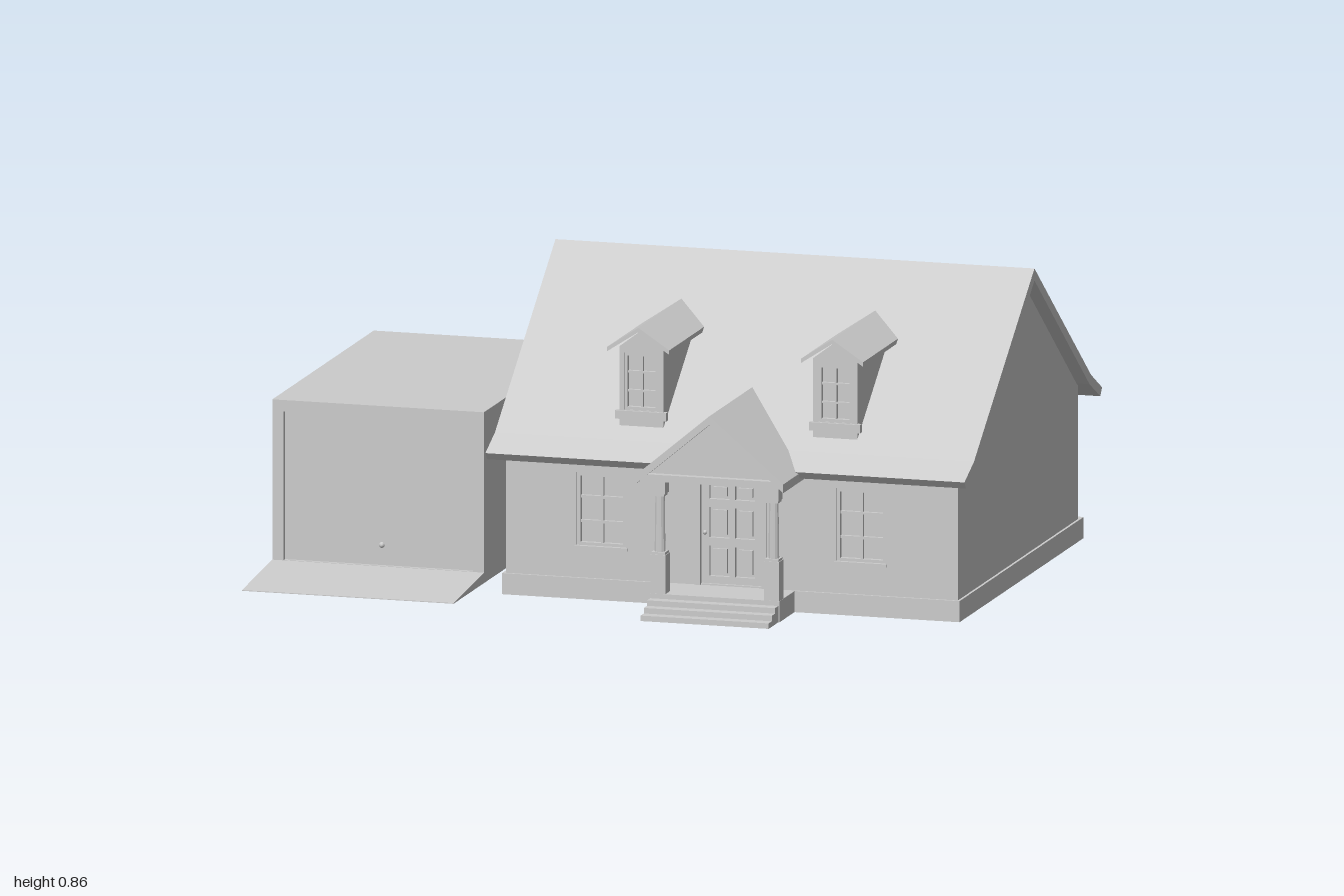
import * as THREE from 'three';

const mat = new THREE.MeshStandardMaterial({ color: 0xcccccc, flatShading: true });

function add(parent, name, geo, x = 0, y = 0, z = 0) {
  const m = new THREE.Mesh(geo, mat);
  m.name = name;
  m.position.set(x, y, z);
  parent.add(m);
  return m;
}

// Box given by its limits
function box(parent, name, x0, x1, y0, y1, z0, z1) {
  return add(parent, name, new THREE.BoxGeometry(x1 - x0, y1 - y0, z1 - z0),
    (x0 + x1) / 2, (y0 + y1) / 2, (z0 + z1) / 2);
}

function polygon(points, holes = []) {
  const shape = new THREE.Shape(points.map(p => new THREE.Vector2(...p)));
  for (const [x0, x1, y0, y1] of holes) {
    shape.holes.push(new THREE.Path([[x0, y0], [x0, y1], [x1, y1], [x1, y0]]
      .map(p => new THREE.Vector2(...p))));
  }
  return shape;
}

const rect = (x0, x1, y0, y1) => [[x0, y0], [x1, y0], [x1, y1], [x0, y1]];

// Profile in (x, y), swept from z0 to z1
function sweepZ(parent, name, points, z0, z1, holes) {
  const g = new THREE.ExtrudeGeometry(polygon(points, holes), { depth: z1 - z0, bevelEnabled: false });
  return add(parent, name, g, 0, 0, z0);
}

// Profile in (z, y), swept from x0 to x1
function sweepX(parent, name, points, x0, x1) {
  const g = new THREE.ExtrudeGeometry(polygon(points), { depth: x1 - x0, bevelEnabled: false });
  g.rotateY(-Math.PI / 2);
  return add(parent, name, g, x1, 0, 0);
}

// Sash frame with glazing bars; its back lies on z = 0
function windowUnit(parent, name, cx, cy, z, w, h, t = 0.01) {
  const g = new THREE.Group();
  g.name = name;
  g.position.set(cx, cy, z);
  parent.add(g);
  const x = w / 2, y = h / 2;
  sweepZ(g, 'sash', rect(-x, x, -y, y), 0, 0.014, [[-x + t, x - t, -y + t, y - t]]);
  box(g, 'uprightBar', -t / 3, t / 3, -y + t, y - t, 0, 0.011);
  for (const k of [-1, 1]) {
    box(g, 'crossBar', -x + t, x - t, k * h / 6 - t / 3, k * h / 6 + t / 3, 0, 0.011);
  }
  return g;
}

// Two sloping roof boards meeting at a ridge
const chevron = (cx, half, eave, peak, t) => [
  [cx - half, eave], [cx - half, eave - t], [cx, peak - t],
  [cx + half, eave - t], [cx + half, eave], [cx, peak]];

function dormer(parent, name, x, frontZ, facing, lift) {
  const g = new THREE.Group();
  g.name = name;
  g.position.set(x, lift, frontZ);
  if (facing < 0) g.rotation.y = Math.PI;
  parent.add(g);
  const gable = [[-0.062, 0.445], [0.062, 0.445], [0.062, 0.685], [0, 0.732], [-0.062, 0.685]];
  sweepZ(g, 'dormerBody', gable, -0.4, -0.016);
  sweepZ(g, 'dormerFront', gable, -0.016, 0, [[-0.047, 0.047, 0.512, 0.668]]);
  windowUnit(g, 'dormerWindow', 0, 0.59, -0.016, 0.094, 0.156, 0.008);
  box(g, 'dormerSill', -0.072, 0.072, 0.487, 0.51, -0.01, 0.008);
  sweepZ(g, 'dormerRoof', chevron(0, 0.087, 0.688, 0.745, 0.012), -0.4, 0.03);
}

function buildHouse(root) {
  const house = new THREE.Group();
  house.name = 'house';
  root.add(house);
  const x0 = -0.308, x1 = 0.963, front = 0.49, back = -0.632, d = 0.02;
  box(house, 'foundation', -0.317, 0.97, 0, 0.058, -0.663, 0.498);

  // Solid core, with pierced front and back walls laid against it
  sweepX(house, 'walls', [[back + d, 0.05], [front - d, 0.05], [front - d, 0.408],
    [-0.103, 0.835], [back + d, 0.45]], x0, x1);
  const winX = [-0.04, 0.69], w = 0.07;
  const holes = winX.map(x => [x - w, x + w, 0.144, 0.347]);
  const door = [0.24, 0.412, 0.062, 0.353];
  sweepZ(house, 'frontWall', rect(x0, x1, 0.05, 0.402), front - d, front, [...holes, door]);
  sweepZ(house, 'backWall', rect(x0, x1, 0.05, 0.435), back, back + d, holes);
  for (const x of winX) {
    windowUnit(house, 'frontWindow', x, 0.2455, front - d, 0.14, 0.203);
    windowUnit(house, 'backWindow', x, 0.2455, back + d, 0.14, 0.203).rotation.y = Math.PI;
    box(house, 'frontSill', x - 0.074, x + 0.074, 0.138, 0.146, front - 0.01, front + 0.006);
    box(house, 'backSill', x - 0.074, x + 0.074, 0.138, 0.146, back - 0.006, back + 0.01);
  }

  // Main roof with flared eaves
  sweepX(house, 'mainRoof', [
    [-0.735, 0.402], [-0.632, 0.457], [-0.103, 0.855], [0.463, 0.436], [0.552, 0.397],
    [0.536, 0.377], [0.45, 0.414], [-0.103, 0.822], [-0.618, 0.434], [-0.718, 0.381]], -0.347, 1);

  for (const x of [0.052, 0.597]) {
    dormer(house, 'frontDormer', x, 0.42, 1, 0);
    dormer(house, 'backDormer', x, -0.61, -1, -0.007);
  }
  buildDoor(house, door, front - d);
}

function buildDoor(parent, [x0, x1, y0, y1], z) {
  const g = new THREE.Group();
  g.name = 'frontDoor';
  parent.add(g);
  const cols = [[x0 + 0.022, x0 + 0.078], [x1 - 0.078, x1 - 0.022]];
  const rows = [[0.082, 0.165], [0.188, 0.272], [0.294, 0.335]];
  const panels = cols.flatMap(c => rows.map(r => [...c, ...r]));
  sweepZ(g, 'doorLeaf', rect(x0, x1, y0, y1), z, z + 0.012, panels);
  for (const [a, b, c, e] of panels) {
    box(g, 'doorPanel', a + 0.008, b - 0.008, c + 0.008, e - 0.008, z, z + 0.008);
  }
  sweepZ(g, 'doorCasing', [[x0 - 0.014, y0 - 0.004], [x0, y0 - 0.004], [x0, y1], [x1, y1],
    [x1, y0 - 0.004], [x1 + 0.014, y0 - 0.004], [x1 + 0.014, y1 + 0.014], [x0 - 0.014, y1 + 0.014]],
  z + 0.018, z + 0.025);
  add(g, 'doorKnob', new THREE.SphereGeometry(0.006, 10, 8), x0 + 0.012, 0.203, z + 0.02);
}

function buildPorch(root) {
  const porch = new THREE.Group();
  porch.name = 'porch';
  root.add(porch);
  const cx = 0.324;
  box(porch, 'porchFloor', 0.142, 0.506, 0, 0.058, 0.49, 0.64);
  [0.67, 0.7, 0.73].forEach((z, i) =>
    box(porch, 'step', 0.143, 0.503, 0, 0.045 - i * 0.015, 0.63, z));

  // Columns: pedestal, slim shaft, capital block
  for (const s of [-1, 1]) {
    const x = cx + s * 0.16, z = 0.618;
    const block = (name, r, a, b) => box(porch, name, x - r, x + r, a, b, z - r, z + r);
    block('columnPedestal', 0.021, 0.058, 0.165);
    block('pedestalCap', 0.019, 0.165, 0.172);
    add(porch, 'columnShaft', new THREE.CylinderGeometry(0.013, 0.015, 0.155, 12), x, 0.2495, z);
    block('columnNeck', 0.016, 0.325, 0.332);
    block('columnCapital', 0.019, 0.332, 0.38);
  }

  // Pediment roof running back into the main roof
  box(porch, 'porchBeam', cx - 0.203, cx + 0.203, 0.376, 0.395, 0.45, 0.685);
  sweepZ(porch, 'pediment', [[cx - 0.185, 0.39], [cx + 0.185, 0.39], [cx, 0.55]], 0.3, 0.665);
  sweepZ(porch, 'porchRoof', chevron(cx, 0.208, 0.391, 0.566, 0.024), 0.25, 0.69);
}

function buildGarage(root) {
  const garage = new THREE.Group();
  garage.name = 'garage';
  root.add(garage);
  const x0 = -1, x1 = -0.405, front = 0.373, top = 0.47;
  box(garage, 'garageBody', x0, x1, 0, top, -0.575, front - 0.02);
  sweepZ(garage, 'garageFront', rect(x0, x1, 0, top), front - 0.02, front,
    [[-0.968, -0.435, 0.03, 0.438]]);
  box(garage, 'garageDoor', -0.968, -0.435, 0.03, 0.438, front - 0.025, front - 0.013);
  add(garage, 'garageHandle', new THREE.SphereGeometry(0.008, 10, 8), -0.695, 0.086, front - 0.01);
  // Driveway wedge
  sweepX(garage, 'driveway', [[front - 0.01, 0], [0.657, 0], [0.657, 0.002], [front - 0.01, 0.03]], x0, x1);
}

export function createModel() {
  const root = new THREE.Group();
  root.name = 'houseWithGarage';
  buildHouse(root);
  buildPorch(root);
  buildGarage(root);
  return root;
}
